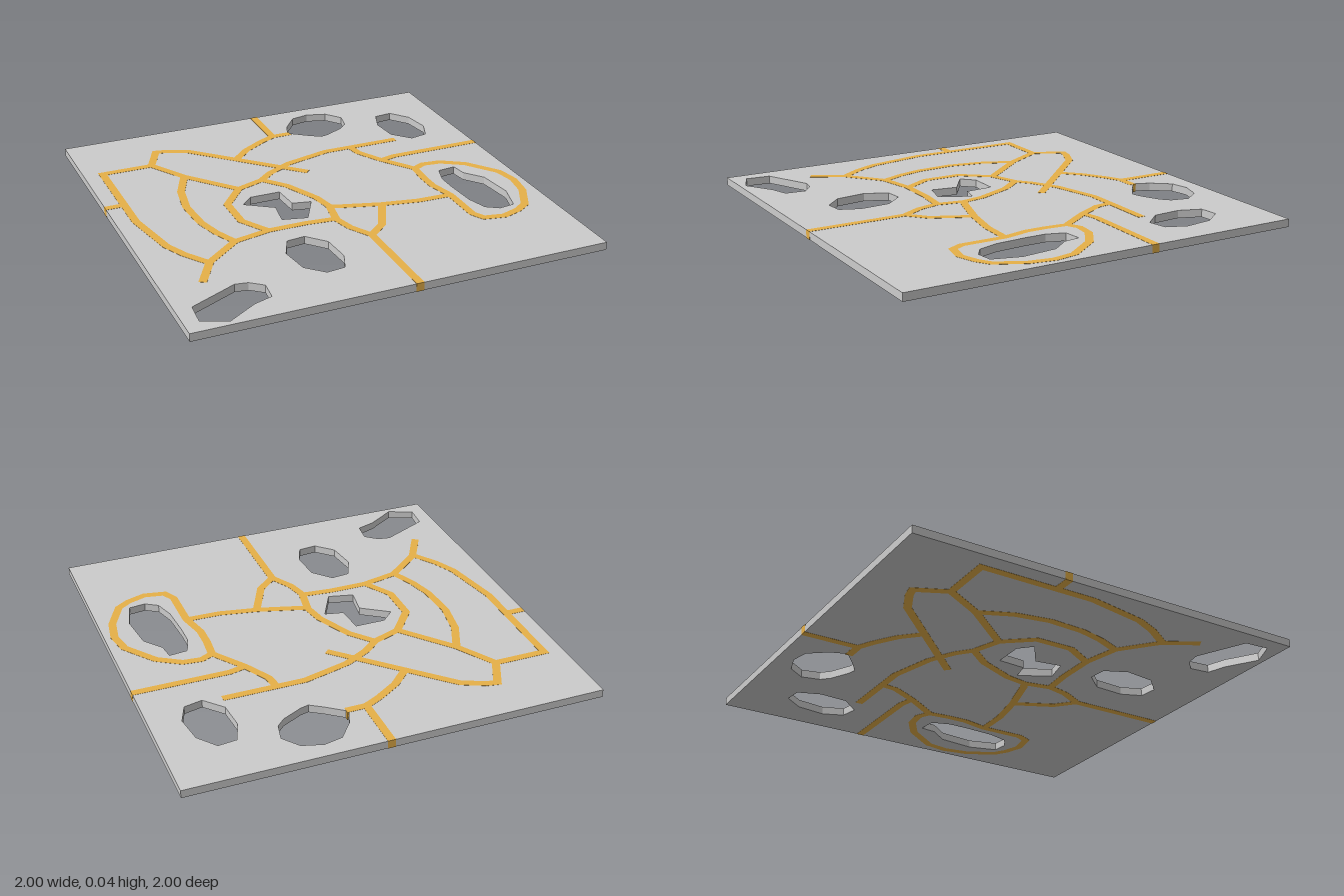
import * as THREE from 'three';

const THICK = 0.04;      // slab thickness
const ROAD = 0.038;      // inlaid path width
const PROUD = 0.0008;    // paths sit a hair above both faces

const points = (flat) => {
  const out = [];
  for (let i = 0; i < flat.length; i += 2) out.push(new THREE.Vector2(flat[i], -flat[i + 1]));
  return out;
};

// Extrude a plan shape upward from y = bottom.
function slab(shape, bottom, height) {
  const g = new THREE.ExtrudeGeometry(shape, { depth: height, bevelEnabled: false });
  g.rotateX(-Math.PI / 2);
  g.translate(0, bottom, 0);
  return g;
}

// Offset a polyline sideways with mitred corners.
function offset(pts, d, closed) {
  const n = pts.length;
  return pts.map((p, i) => {
    const prev = closed ? pts[(i + n - 1) % n] : pts[Math.max(i - 1, 0)];
    const next = closed ? pts[(i + 1) % n] : pts[Math.min(i + 1, n - 1)];
    const a = p.clone().sub(prev).normalize();
    const b = next.clone().sub(p).normalize();
    if (a.lengthSq() === 0) a.copy(b);
    if (b.lengthSq() === 0) b.copy(a);
    const m = new THREE.Vector2(-a.y - b.y, a.x + b.x).normalize();
    const scale = d / Math.max(0.5, m.dot(new THREE.Vector2(-a.y, a.x)));
    return p.clone().addScaledVector(m, scale);
  });
}

function ribbon(flat, closed = false) {
  const pts = points(flat);
  const left = offset(pts, ROAD / 2, closed);
  const right = offset(pts, -ROAD / 2, closed);
  if (!closed) return new THREE.Shape([...left, ...right.reverse()]);
  const shape = new THREE.Shape(left);
  shape.holes.push(new THREE.Path(right));
  return shape;
}

// Openings cut through the slab, as x, z pairs
const openings = [
  [0.14, -0.73, 0.17, -0.81, 0.24, -0.9, 0.33, -0.92, 0.43, -0.89, 0.49, -0.81, 0.47, -0.72, 0.43, -0.68, 0.33, -0.63, 0.29, -0.62, 0.23, -0.66],
  [0.67, -0.75, 0.76, -0.76, 0.83, -0.67, 0.85, -0.53, 0.81, -0.43, 0.72, -0.41, 0.64, -0.5, 0.63, -0.64],
  [-0.32, -0.08, -0.17, -0.08, -0.16, 0.06, -0.07, 0.08, -0.15, 0.23, -0.27, 0.2, -0.25, 0.07, -0.38, -0.02],
  [0.66, 0.01, 0.75, 0, 0.76, 0.08, 0.83, 0.17, 0.85, 0.35, 0.81, 0.49, 0.73, 0.5, 0.67, 0.46, 0.64, 0.36, 0.63, 0.2, 0.63, 0.1],
  [-0.33, 0.41, -0.24, 0.4, -0.16, 0.49, -0.15, 0.64, -0.19, 0.74, -0.28, 0.75, -0.36, 0.67, -0.38, 0.52],
  [-0.92, 0.8, -0.69, 0.69, -0.63, 0.7, -0.57, 0.75, -0.58, 0.85, -0.67, 0.88, -0.81, 0.97, -0.93, 0.92],
];

// Centre lines of the inlaid paths, as x, z pairs
const paths = {
  northPath: [0.05, -1, 0.05, -0.72],
  northCurve: [0.15, -0.72, 0.05, -0.72, -0.03, -0.68, -0.14, -0.61, -0.2, -0.55, -0.23, -0.52],
  diagonalPath: [-0.65, -0.62, -0.58, -0.77, -0.53, -0.76, -0.42, -0.71, -0.24, -0.53, 0.05, -0.24],
  outerWestPath: [-0.65, -0.62, -0.905, -0.62, -0.905, -0.05, -0.85, 0.24, -0.8, 0.35, -0.72, 0.47],
  westSpur: [-1, -0.24, -0.905, -0.24],
  innerDiagonal: [-0.65, -0.62, -0.54, -0.43, -0.34, -0.19],
  innerWestArc: [-0.54, -0.43, -0.61, -0.27, -0.64, -0.1, -0.63, 0.08, -0.6, 0.2, -0.55, 0.32],
  southWestArc: [-0.81, 0.62, -0.72, 0.46, -0.55, 0.32, -0.37, 0.28, -0.18, 0.28, -0.03, 0.295],
  courtWestSide: [-0.34, -0.19, -0.45, -0.05, -0.45, 0.14, -0.37, 0.28],
  northEastArc: [-0.34, -0.19, -0.2, -0.24, -0.13, -0.3, 0, -0.37, 0.23, -0.43, 0.63, -0.43],
  southPath: [-0.2, -0.24, -0.11, -0.13, -0.03, 0.05, -0.01, 0.16, -0.035, 0.3, -0.01, 0.4, 0.05, 0.51, 0.05, 1],
  eastLink: [-0.01, 0.16, 0.03, 0.18, 0.23, 0.24, 0.41, 0.275, 0.58, 0.28],
  southEastLink: [0.23, 0.24, 0.14, 0.43, 0.05, 0.51],
  eastDescent: [0.37, -0.43, 0.38, -0.35, 0.45, -0.22, 0.56, -0.06],
  eastPath: [0.45, -0.22, 0.53, -0.24, 1, -0.24],
};
const eastLoop = [0.56, -0.06, 0.62, -0.09, 0.71, -0.08, 0.82, -0.01, 0.93, 0.14, 0.95, 0.25, 0.93, 0.37,
  0.86, 0.51, 0.8, 0.55, 0.71, 0.58, 0.61, 0.56, 0.58, 0.5, 0.58, 0.28, 0.55, 0.15, 0.55, 0.05];

export function createModel() {
  const model = new THREE.Group();
  const grey = new THREE.MeshStandardMaterial({ color: 0xcccccc });
  const ochre = new THREE.MeshStandardMaterial({ color: 0xe6b048 });
  const add = (name, geometry, material, parent) => {
    const mesh = new THREE.Mesh(geometry, material);
    mesh.name = name;
    parent.add(mesh);
  };

  // Square ground slab with its openings
  const e = 1 - PROUD;
  const ground = new THREE.Shape(points([-e, e, e, e, e, -e, -e, -e]));
  openings.forEach((o) => ground.holes.push(new THREE.Path(points(o))));
  add('groundSlab', slab(ground, PROUD, THICK - 2 * PROUD), grey, model);

  // Inlaid path network running through the slab
  const network = new THREE.Group();
  network.name = 'pathNetwork';
  for (const [name, line] of Object.entries(paths)) add(name, slab(ribbon(line), 0, THICK), ochre, network);
  add('eastLoop', slab(ribbon(eastLoop, true), 0, THICK), ochre, network);
  model.add(network);

  return model;
}
